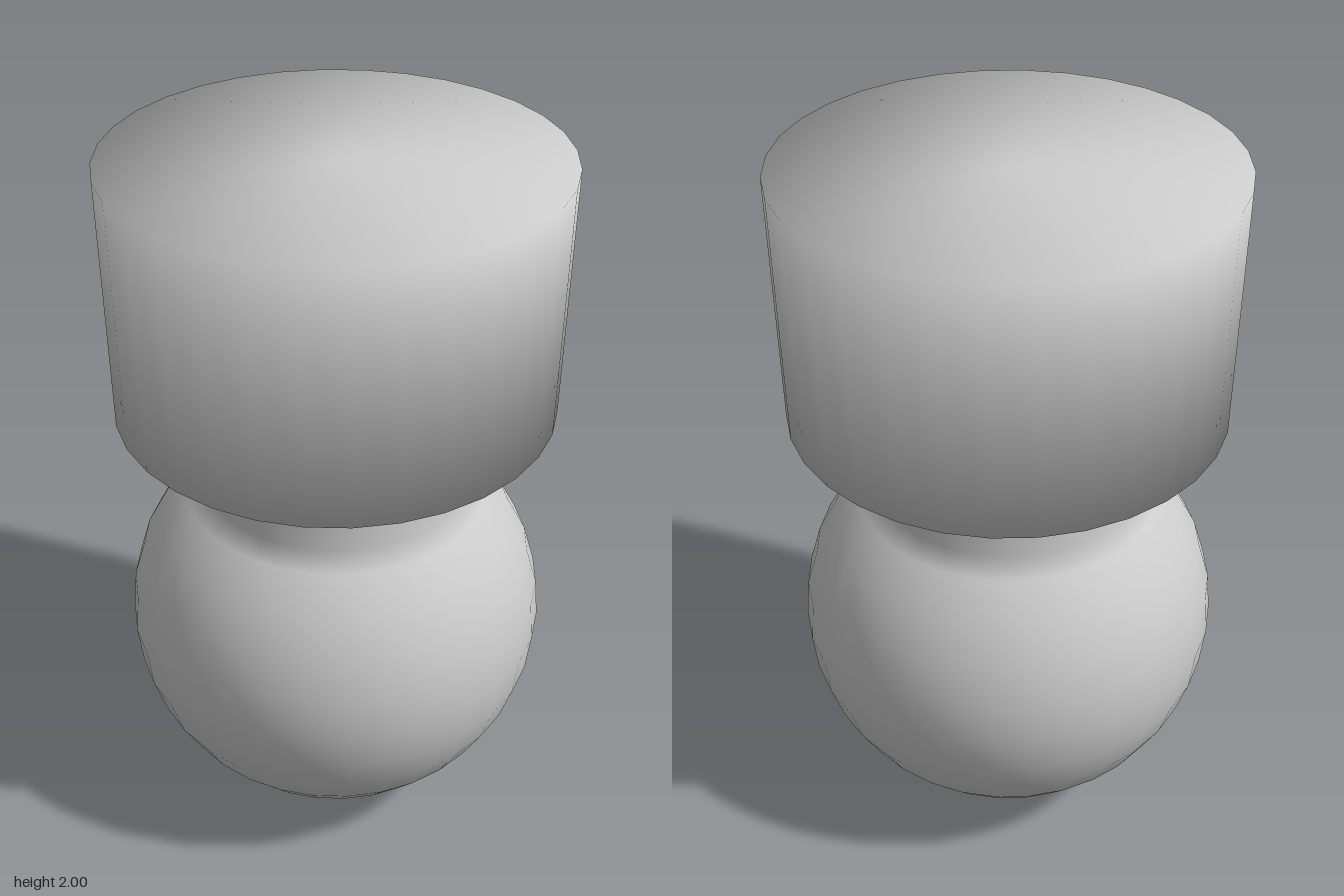
import * as THREE from 'three';

const SEGMENTS = 32;
const RADIUS = 0.6;       // ball and head share one radius
const NECK_RADIUS = 0.375;
const HEAD_BOTTOM = 1.31;
const TOP = 2;

export function createModel() {
  const group = new THREE.Group();
  const material = new THREE.MeshStandardMaterial({ color: 0xcccccc });

  // Revolve a bottom-to-top profile with smooth normals
  const addLathe = (name, points) => {
    const profile = points.map(([r, y]) => new THREE.Vector2(r, y));
    const mesh = new THREE.Mesh(new THREE.LatheGeometry(profile, SEGMENTS), material);
    mesh.name = name;
    group.add(mesh);
  };

  // Ball flowing into the neck: sphere rings up to the neck, then straight up
  const ball = [];
  for (let i = 0; i <= 12; i++) {
    const a = (i / 16) * Math.PI;
    ball.push([RADIUS * Math.sin(a), RADIUS - RADIUS * Math.cos(a)]);
  }
  addLathe('ballAndNeck', [...ball, [NECK_RADIUS, 1.065], [NECK_RADIUS, HEAD_BOTTOM + 0.02]]);

  // Solid cylindrical head with softly shaded rims
  addLathe('head', [[0, HEAD_BOTTOM], [RADIUS, HEAD_BOTTOM], [RADIUS, TOP], [0, TOP]]);

  return group;
}
